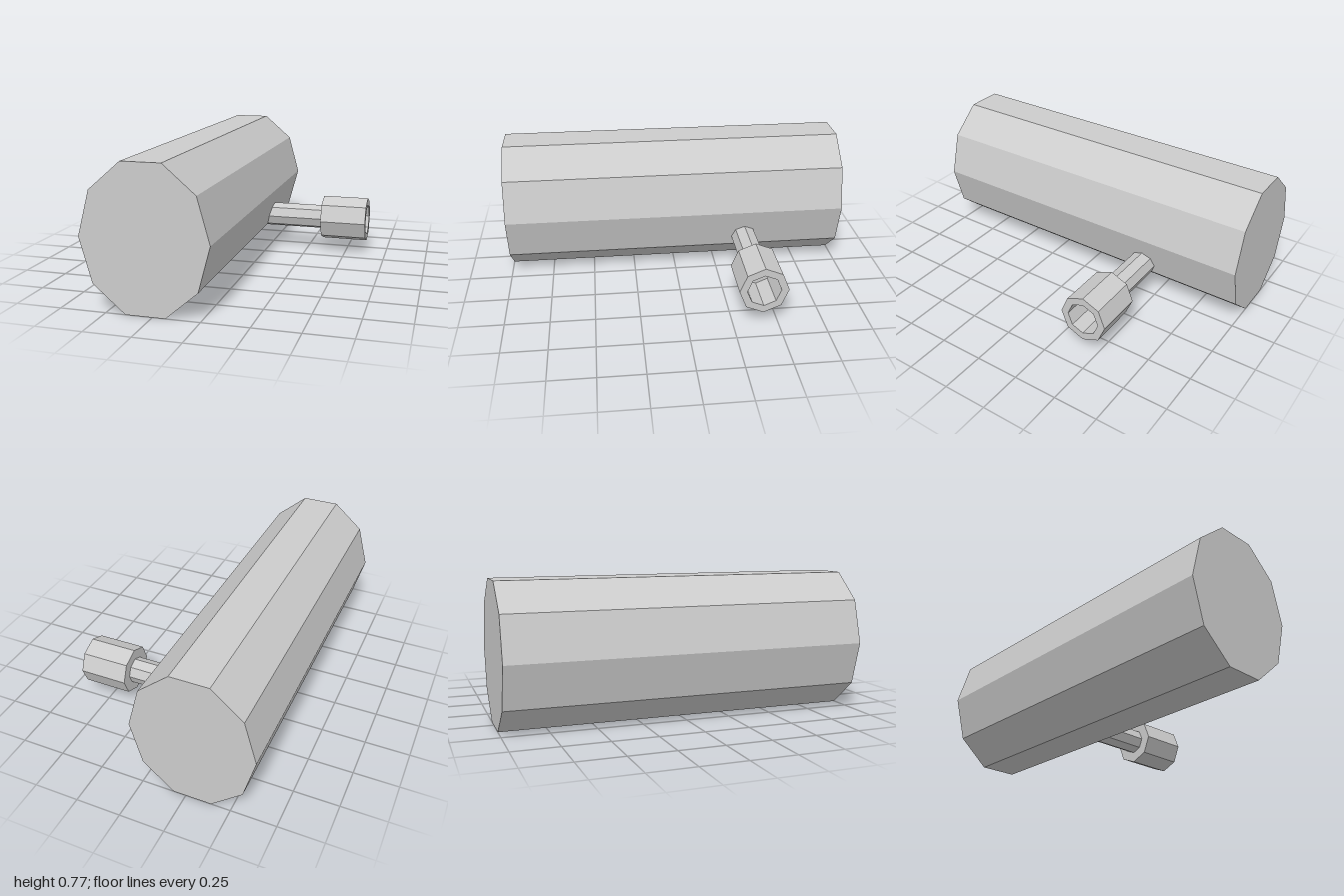
import * as THREE from 'three';

export function createModel() {
  const model = new THREE.Group();
  const material = new THREE.MeshStandardMaterial({ color: 0xcccccc, flatShading: true });

  const add = (name, geometry) => {
    const mesh = new THREE.Mesh(geometry, material);
    mesh.name = name;
    model.add(mesh);
    return mesh;
  };

  // Ten-sided tank lying along z, a little taller than wide
  const tank = new THREE.CylinderGeometry(1, 1, 2, 10, 1, false, Math.PI / 2);
  tank.rotateX(Math.PI / 2).scale(0.343, 0.407, 1);
  add('tank', tank).position.set(-0.287, 0.389, 0);

  // Eight-sided part turned around the x axis; profile is [radius, x] pairs
  const turned = (name, profile) => {
    const points = profile.map(([r, x]) => new THREE.Vector2(r, x));
    const geometry = new THREE.LatheGeometry(points, 8).rotateZ(-Math.PI / 2);
    add(name, geometry).position.set(0, 0.209, -0.416);
  };

  // Thin pipe running from inside the tank to the nozzle
  turned('pipe', [[0, -0.06], [0.075, -0.06], [0.075, 0.36], [0, 0.36]]);

  // Wide nozzle with a hollow open end
  turned('nozzle', [
    [0, 0.35], [0.137, 0.35], [0.137, 0.628],
    [0.094, 0.628], [0.094, 0.4], [0, 0.4],
  ]);

  return model;
}
